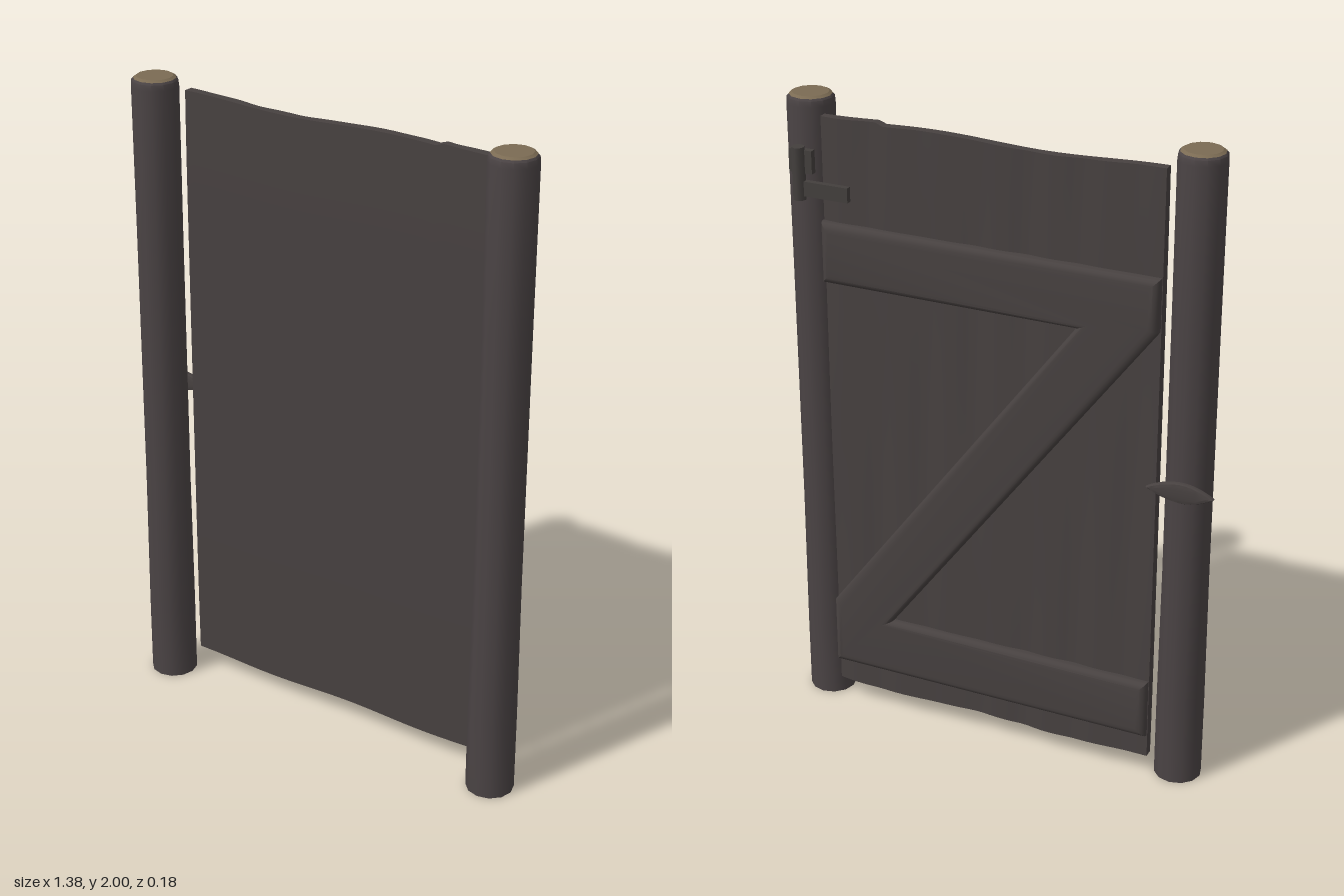
import * as THREE from 'three';
import { toCreasedNormals } from 'three/addons/utils/BufferGeometryUtils.js';

const mat = (name, color) => {
  const m = new THREE.MeshStandardMaterial({ color });
  m.name = name;
  return m;
};

export function createModel() {
  const bark = mat('dark bark', 0x4a4344);
  const plank = mat('dark planks', 0x474140);
  const cutWood = mat('cut wood', 0x7b6b53);
  const iron = mat('dark iron', 0x433f3d);

  const gate = new THREE.Group();
  gate.name = 'gate';
  const add = (name, geo, material, x = 0, y = 0, z = 0) => {
    const mesh = new THREE.Mesh(geo, material);
    mesh.name = name;
    mesh.position.set(x, y, z);
    gate.add(mesh);
    return mesh;
  };

  // Round posts with a softened rim and a pale sawn top
  const profile = [[0, 0], [0.073, 0], [0.073, 0.25], [0.07, 0.7], [0.07, 1.5], [0.071, 1.97], [0.069, 1.988], [0.062, 1.995]]
    .map(([r, y]) => new THREE.Vector2(r, y));
  const postGeo = toCreasedNormals(new THREE.LatheGeometry(profile, 12), 0.7);
  const topGeo = toCreasedNormals(new THREE.LatheGeometry(
    [[0.064, 1.994], [0.055, 2], [0, 2]].map(([r, y]) => new THREE.Vector2(r, y)), 12), 0.5);
  for (const [side, x] of [['right', -0.587], ['left', 0.617]]) {
    add(side + 'Post', postGeo, bark, x, 0, 0.016);
    add(side + 'PostTop', topGeo, cutWood, x, 0, 0.016);
  }

  // Door panel: uneven top and bottom edges, shallow plank grooves on the back
  const panel = new THREE.BoxGeometry(1.06, 1.88, 0.032, 42, 16, 1);
  const p = panel.attributes.position;
  for (let i = 0; i < p.count; i++) {
    const x = p.getX(i), y = p.getY(i), t = y / 0.94;
    const top = 0.006 * Math.sin(x * 9) + (x > 0.33 ? 0.01 : 0);
    const bottom = 0.004 * Math.sin(x * 11 + 1);
    p.setY(i, y + (t > 0 ? top : bottom) * Math.abs(t));
    if (p.getZ(i) < 0) p.setZ(i, -0.016 + 0.006 * Math.pow(Math.abs(Math.sin((x + 0.53) * 19)), 3) * (0.6 + 0.4 * Math.sin(y * 4 + x * 9)));
    else p.setZ(i, 0.016 - 0.003 * Math.abs(t) ** 6);
  }
  panel.computeVertexNormals();
  add('doorPanel', panel, plank, 0.018, 1.01, -0.042);

  // Z-shaped brace on the back: two rails and a diagonal
  const outline = [[-0.51, 1.64], [0.55, 1.64], [0.55, 1.45], [-0.26, 1.45], [0.55, 0.37],
    [0.55, 0.15], [-0.51, 0.15], [-0.51, 0.34], [0.345, 0.34], [-0.51, 1.48]]
    .map(([x, y]) => new THREE.Vector2(x, y));
  const brace = new THREE.ExtrudeGeometry(new THREE.Shape(outline), {
    depth: 0.01, bevelThickness: 0.022, bevelSize: 0.03, bevelOffset: -0.03, bevelSegments: 4,
  });
  add('zBrace', toCreasedNormals(brace, 0.6), plank, 0, 0, -0.063);

  // Latch: a pointed wooden turn-piece across the right post
  const latchShape = new THREE.Shape();
  latchShape.moveTo(-0.692, 1.0);
  latchShape.quadraticCurveTo(-0.64, 1.032, -0.59, 1.032);
  latchShape.quadraticCurveTo(-0.53, 1.028, -0.485, 1.0);
  latchShape.quadraticCurveTo(-0.53, 0.972, -0.59, 0.968);
  latchShape.quadraticCurveTo(-0.64, 0.968, -0.692, 1.0);
  const latch = new THREE.ExtrudeGeometry(latchShape, {
    depth: 0.008, bevelThickness: 0.007, bevelSize: 0.01, bevelOffset: -0.01, bevelSegments: 2, curveSegments: 6,
  });
  add('latch', toCreasedNormals(latch, 0.6), plank, 0, 0, -0.07);

  // Hinge: plate and pin on the left post, strap on the door
  add('hingePlate', new THREE.BoxGeometry(0.075, 0.07, 0.02), iron, 0.61, 1.815, -0.062);
  add('hingePin', new THREE.CylinderGeometry(0.02, 0.02, 0.16, 8), iron, 0.615, 1.78, -0.073);
  add('hingeStrap', new THREE.BoxGeometry(0.17, 0.045, 0.018), iron, 0.54, 1.735, -0.07);

  return gate;
}
